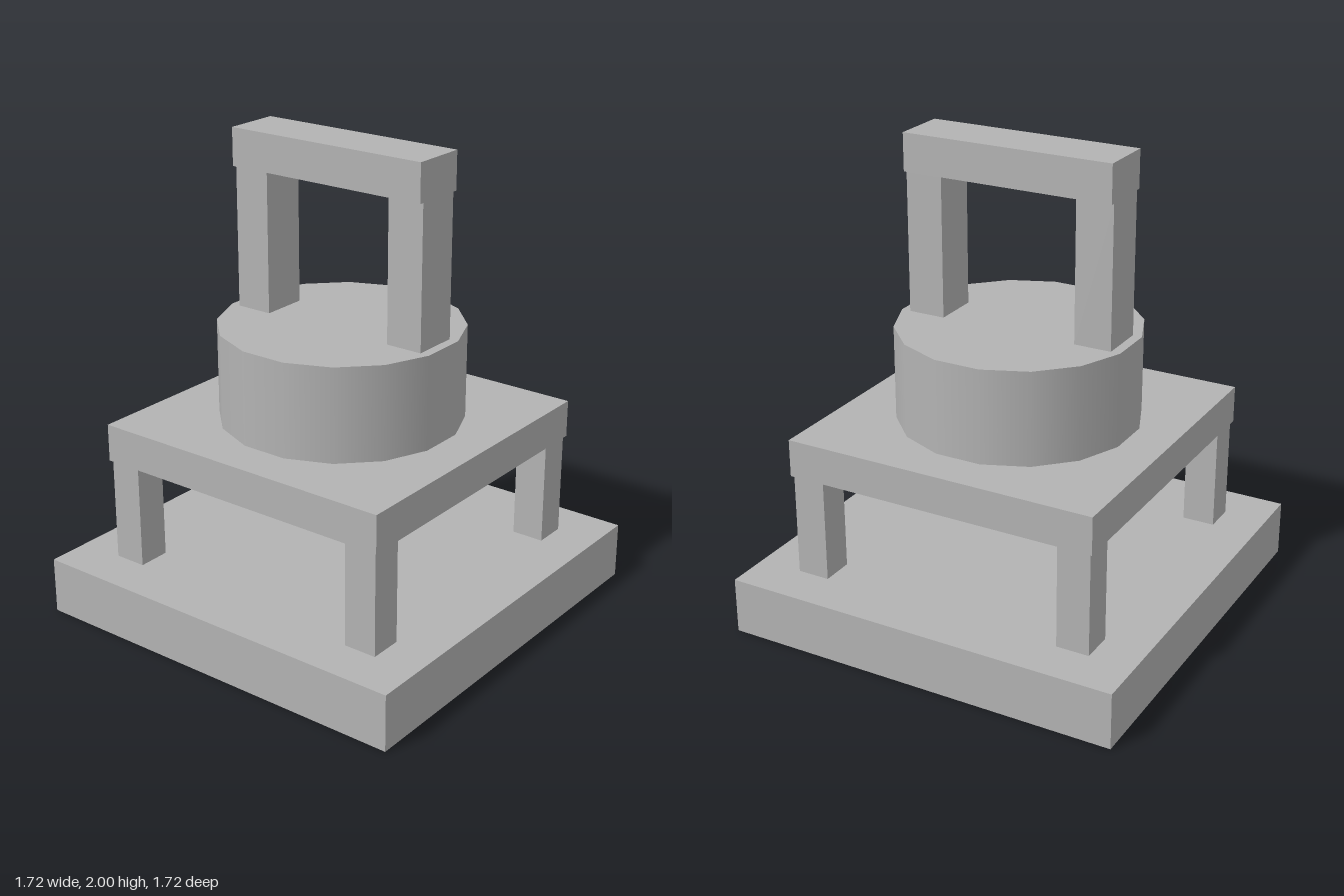
import * as THREE from 'three';

export function createModel() {
  const model = new THREE.Group();
  model.name = 'tieredStand';
  const stone = new THREE.MeshStandardMaterial({ color: 0xb3b3b3 });
  stone.name = 'grey stone';

  // Adds a mesh standing on height y
  const add = (name, geometry, x, y, z, height) => {
    const mesh = new THREE.Mesh(geometry, stone);
    mesh.name = name;
    mesh.position.set(x, y + height / 2, z);
    model.add(mesh);
    return mesh;
  };
  const box = (name, w, h, d, x, y, z) =>
    add(name, new THREE.BoxGeometry(w, h, d), x, y, z, h);

  // Square base and raised platform
  box('base', 1.72, 0.24, 1.72, 0, 0, 0);
  box('platform', 1.36, 0.16, 1.36, 0, 0.68, 0);

  for (const sx of [-1, 1]) {
    const side = sx > 0 ? 'left' : 'right';
    // Platform legs
    for (const sz of [-1, 1]) {
      box(`${side}${sz > 0 ? 'Front' : 'Back'}Leg`, 0.14, 0.44, 0.14, sx * 0.6, 0.24, sz * 0.6);
    }
    // Arch posts
    box(`${side}Post`, 0.16, 0.6, 0.2, sx * 0.38, 1.24, 0);
  }

  // Sixteen-sided drum, flat sides facing the axes
  const drum = add('drum', new THREE.CylinderGeometry(0.51, 0.51, 0.4, 16), 0, 0.84, 0, 0.4);
  drum.rotation.y = Math.PI / 16;

  // Beam across the posts
  box('beam', 0.92, 0.16, 0.24, 0, 1.84, 0);

  return model;
}
